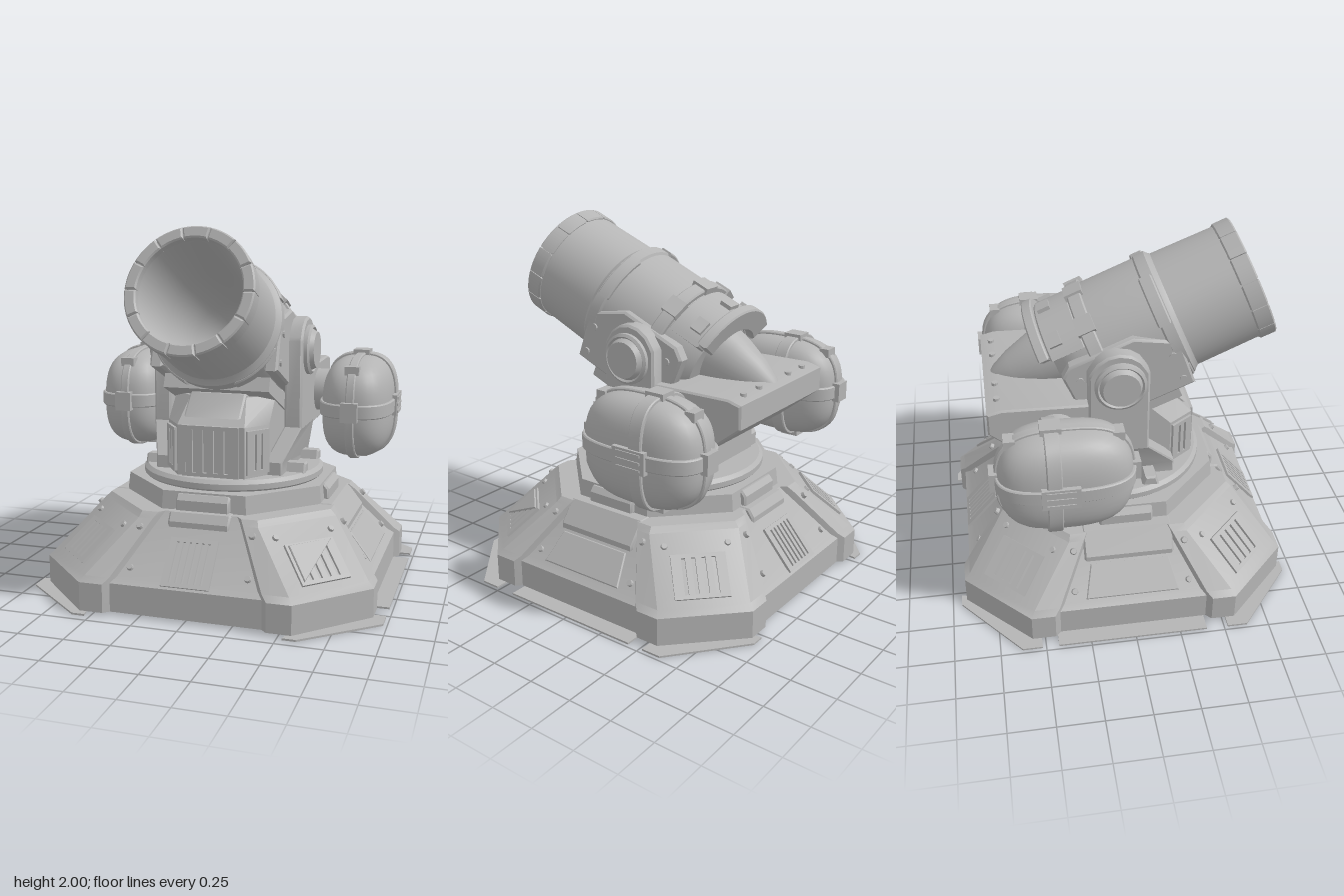
import * as THREE from 'three';
import { toCreasedNormals } from 'three/addons/utils/BufferGeometryUtils.js';

const steel = new THREE.MeshStandardMaterial({ color: 0xb4b4b4, side: THREE.DoubleSide });
steel.name = 'plain steel';

function add(parent, name, geo, x = 0, y = 0, z = 0) {
  const m = new THREE.Mesh(toCreasedNormals(geo, 0.55), steel);
  m.name = name;
  m.position.set(x, y, z);
  parent.add(m);
  return m;
}
function group(parent, name, x = 0, y = 0, z = 0) {
  const g = new THREE.Group();
  g.name = name;
  g.position.set(x, y, z);
  parent.add(g);
  return g;
}
const box = (w, h, d) => new THREE.BoxGeometry(w, h, d);
const shape = pts => new THREE.Shape(pts.map(p => new THREE.Vector2(p[0], p[1])));
const lathe = (pts, n) => new THREE.LatheGeometry(pts.map(p => new THREE.Vector2(p[0], p[1])), n);
// Extrude with a small bevel that stays inside the given depth
function extrude(s, depth, b = 0.01) {
  return new THREE.ExtrudeGeometry(s, { depth: depth - 2 * b, bevelEnabled: b > 0, bevelSize: b, bevelOffset: -b,
    bevelThickness: b, bevelSegments: 1, curveSegments: 12 }).translate(0, 0, b);
}
// (z, y) outline extruded from x0 to x1
const sideways = (pts, x0, x1, b) => extrude(shape(pts), x1 - x0, b).rotateY(-Math.PI / 2).translate(x1, 0, 0);
// Arc of a ring around the y axis, angle measured from +x towards -z
function arcRing(rIn, rOut, a0, a1, y0, y1, b = 0.008) {
  const s = new THREE.Shape();
  s.absarc(0, 0, rOut, a0, a1, false);
  s.absarc(0, 0, rIn, a1, a0, true);
  return extrude(s, y1 - y0, b).rotateX(-Math.PI / 2).translate(0, y0, 0);
}
// Skin closed rings of points
function loft(rings) {
  const v = [];
  for (let k = 0; k + 1 < rings.length; k++) {
    const lo = rings[k], up = rings[k + 1], n = lo.length;
    for (let i = 0; i < n; i++) {
      const j = (i + 1) % n;
      v.push(...lo[i], ...lo[j], ...up[j], ...lo[i], ...up[j], ...up[i]);
    }
  }
  const g = new THREE.BufferGeometry();
  g.setAttribute('position', new THREE.Float32BufferAttribute(v, 3));
  return g;
}
const sp = (v, n) => Math.sign(v) * Math.abs(v) ** (2 / n);
function superEllipse(a, b, n) {
  return shape(Array.from({ length: 48 }, (_, i) => {
    const t = i / 48 * Math.PI * 2;
    return [a * sp(Math.cos(t), n), b * sp(Math.sin(t), n)];
  }));
}
const rivet = (parent, x, y, z) => add(parent, 'rivet', new THREE.CylinderGeometry(0.015, 0.02, 0.02, 10).rotateX(Math.PI / 2), x, y, z);

// Framed vent facing local +z
function grille(parent, w, h, bars, y = 0) {
  const g = group(parent, 'grille', 0, y, 0);
  for (const s of [-1, 1]) {
    add(g, 'grilleFrameSide', box(0.022, h, 0.03), s * w / 2, 0, 0);
    add(g, 'grilleFrameEnd', box(w + 0.022, 0.022, 0.03), 0, s * h / 2, 0);
  }
  for (let i = 0; i < bars; i++)
    add(g, 'grilleBar', box(w / bars * 0.6, h * 0.94, 0.03), w * ((i + 0.5) / bars - 0.5), 0, 0);
  return g;
}

function buildBase(root) {
  const base = group(root, 'base');
  // Eight-sided skirt with recessed middles between four corner feet
  const ring = (y, d, g, c, rec) => {
    const q = [[c, d - rec], [c + 0.03, d], [g, d], [d, g], [d, c + 0.03], [d - rec, c]], out = [];
    for (let k = 0; k < 4; k++)
      q.forEach(([x, z]) => {
        for (let r = 0; r < k; r++) [x, z] = [z, -x];
        out.push([x, y, z]);
      });
    return out;
  };
  add(base, 'skirt', loft([ring(0.015, 0.92, 0.57, 0.41, 0.03), ring(0.17, 0.92, 0.57, 0.41, 0.03),
    ring(0.2, 0.89, 0.55, 0.38, 0.035), ring(0.47, 0.67, 0.33, 0.22, 0.045), ring(0.5, 0.64, 0.32, 0.2, 0.035),
    ring(0.5, 0.2, 0.08, 0.03, 0)]));
  // Ground plates
  add(base, 'floorPlate', box(1.96, 0.01, 0.83), 0, 0.005, -0.015);
  const foot = [[0.53, 0.95], [0.6, 0.95], [0.98, 0.63], [0.98, 0.52], [0.88, 0.52], [0.55, 0.85]];
  for (const sx of [-1, 1]) for (const sz of [-1, 1])
    add(base, 'cornerPlate', extrude(shape(foot.map(([x, z]) => [x * sx, -z * sz])), 0.01, 0).rotateX(-Math.PI / 2));
  for (let k = 0; k < 4; k++) {
    // Straight faces: grilles front and back, plain panels at the sides
    const a = k * Math.PI / 2, grilled = k % 2 === 0, w = grilled ? 0.17 : 0.25;
    const f = group(base, 'straightFace', Math.sin(a) * 0.787, 0.28, Math.cos(a) * 0.787);
    f.rotation.set(-0.71, a, 0, 'YXZ');
    if (grilled) grille(f, 0.24, 0.25, 7);
    else add(f, 'sidePanel', extrude(shape([[-0.26, -0.1], [0.26, -0.1], [0.22, 0.09], [-0.22, 0.09]]), 0.016, 0.006), 0, 0, -0.008);
    for (const s of [-1, 1]) {
      rivet(f, s * 0.32, -0.05, 0.006);
      rivet(f, s * 0.31, 0.17, 0.045);
    }
    const t = group(base, 'upperTab');
    t.rotation.y = a;
    const drop = grilled ? 0.43 : 0.36, reach = grilled ? 0.66 : 0.72;
    add(t, 'tabBlock', sideways([[0.5, drop], [reach, drop], [reach, drop + 0.03], [0.63, 0.505], [0.5, 0.505]], -w, w));
    add(t, 'ringTab', sideways([[0.5, 0.5], [0.595, 0.5], [0.595, 0.56], [0.57, 0.59], [0.5, 0.59]], -0.15, 0.15));
    // Diagonal faces
    const c = a + Math.PI / 4;
    const d = group(base, 'cornerFace', Math.sin(c) * 0.863, 0.335, Math.cos(c) * 0.863);
    d.rotation.set(-0.845, c, 0, 'YXZ');
    grille(d, 0.27, 0.22, 5, -0.045);
    if (k === 0) add(d, 'grilleCover', extrude(shape([[-0.13, -0.15], [0.13, 0.065], [-0.13, 0.065]]), 0.025, 0.004));
    for (const s of [-1, 1]) rivet(d, s * 0.17, 0.13, 0.002);
  }
  // Turntable
  add(base, 'turntableCollar', new THREE.CylinderGeometry(0.605, 0.617, 0.1, 8).rotateY(Math.PI / 8), 0, 0.55, 0);
  add(base, 'turntableDisc', lathe([[0, 0.59], [0.5, 0.59], [0.52, 0.61], [0.52, 0.64], [0.5, 0.66], [0, 0.66]], 48));
}

function buildMount(root) {
  const mount = group(root, 'mount');
  // Pedestal with chamfered sides
  const level = (y, w, f) => [[-w, y, f], [w, y, f], [0.29, y, f - 0.14], [0.29, y, -0.35], [-0.29, y, -0.35], [-0.29, y, f - 0.14]];
  add(mount, 'pedestal', loft([level(0.65, 0.19, 0.44), level(0.94, 0.19, 0.44), level(1.08, 0.16, 0.3), level(1.08, 0.02, 0.1)]));
  const front = group(mount, 'frontVent', 0, 0.8, 0.44);
  grille(front, 0.3, 0.26, 5);
  add(mount, 'pedestalHood', sideways([[0.2, 0.98], [0.42, 0.98], [0.31, 1.1], [0.1, 1.1]], -0.16, 0.16));
  for (const s of [-1, 1]) {
    const v = group(mount, 'sideVent', s * 0.24, 0.8, 0.37);
    v.rotation.y = s * 0.95;
    grille(v, 0.13, 0.22, 3);
  }
  // Yoke arms: round top, splayed foot bent inwards
  const top = [[0.15, 0.88], [0.15, 1.38]];
  for (let i = 1; i < 8; i++) top.push([-0.015 + 0.165 * Math.cos(i * Math.PI / 8), 1.34 + 0.165 * Math.sin(i * Math.PI / 8)]);
  top.push([-0.18, 1.38], [-0.18, 0.88]);
  const low = [[0.15, 0.9], [0.31, 0.73], [0.31, 0.65], [-0.34, 0.65], [-0.34, 0.73], [-0.18, 0.9]];
  for (const s of [-1, 1]) {
    const span = (a, b) => s > 0 ? [a, b] : [-b, -a];
    add(mount, 'yokeArm', sideways(top, ...span(0.335, 0.435), 0.012));
    const g = sideways(low, ...span(0.335, 0.435), 0.008), p = g.attributes.position;
    for (let i = 0; i < p.count; i++) p.setX(i, p.getX(i) - s * 0.07 * THREE.MathUtils.clamp((0.9 - p.getY(i)) / 0.17, 0, 1));
    add(mount, 'yokeFoot', g);
    for (const z of [-0.18, 0.16]) add(mount, 'footGusset', sideways([[z - 0.05, 0.65], [z + 0.05, 0.65], [z + 0.03, 0.71], [z - 0.03, 0.71]], ...span(0.33, 0.47)));
    // Trunnion caps
    const cap = [[0, 0.4], [0.14, 0.4], [0.14, 0.455], [0.125, 0.465], [0.115, 0.455], [0.1, 0.485], [0, 0.485]];
    add(mount, 'trunnionCap', lathe(cap, 32).rotateZ(-s * Math.PI / 2), 0, 1.32, -0.01);
    // Axle stub into the pod
    add(mount, 'podAxle', new THREE.CylinderGeometry(0.125, 0.125, 0.16, 24).rotateZ(Math.PI / 2), s * 0.46, 1.04, -0.36);
  }
  // Rear cross beam
  add(mount, 'crossBeam', sideways([[-0.72, 1.19], [-0.72, 1.06], [-0.47, 0.86], [-0.15, 0.86], [-0.15, 1.2], [-0.64, 1.21]], -0.42, 0.42));
  for (const x of [-0.3, -0.15, 0.15, 0.3]) add(mount, 'beamBolt', new THREE.CylinderGeometry(0.018, 0.018, 0.02, 10), x, 1.21, -0.66);
}

function buildPod(root, s) {
  const pod = group(root, s > 0 ? 'leftPod' : 'rightPod', s * 0.677, 0.966, -0.34);
  const n = 2.9, [a, b, c] = [0.2, 0.29, 0.355];
  const g = new THREE.SphereGeometry(1, 40, 28), p = g.attributes.position;
  for (let i = 0; i < p.count; i++) {
    const v = new THREE.Vector3().fromBufferAttribute(p, i);
    const k = (Math.abs(v.x) ** n + Math.abs(v.y) ** n + Math.abs(v.z) ** n) ** (-1 / n);
    p.setXYZ(i, v.x * k * a, v.y * k * b, v.z * k * c);
  }
  add(pod, 'podShell', g);
  // Straps in three planes
  const e = 0.014;
  add(pod, 'lengthStrap', extrude(superEllipse(c + e, b + e, n), 0.05, 0.006).translate(0, 0, -0.025).rotateY(Math.PI / 2));
  add(pod, 'waistStrap', extrude(superEllipse(a + e, c + e, n), 0.08, 0.006).translate(0, 0, -0.04).rotateX(Math.PI / 2), 0, 0.01, 0);
  add(pod, 'crossStrap', extrude(superEllipse(a + e, b + e, n), 0.08, 0.006).translate(0, 0, -0.04), 0, 0, -0.07);
  // Clasps where the straps meet
  for (const k of [-1, 1]) {
    add(pod, 'claspVertical', box(0.095, 0.05, 0.11), 0, k * (b + 0.005), -0.07);
    add(pod, 'claspEnd', box(0.095, 0.11, 0.05), 0, 0.01, k * (c + 0.015));
    add(pod, 'claspCorner', box(0.08, 0.05, 0.06), 0, 0.235, k * 0.28);
  }
  add(pod, 'claspOuter', box(0.04, 0.12, 0.2), s * (a + 0.004), 0.01, -0.04);
  for (const y of [-0.03, 0.01, 0.05]) add(pod, 'claspRib', box(0.015, 0.014, 0.15), s * (a + 0.022), y, -0.04);
}

function buildBarrel(root) {
  // Local +y runs to the muzzle, local -z is the upper side
  const barrel = group(root, 'barrel', 0, 1.352, -0.01);
  barrel.rotation.x = 1.17;
  add(barrel, 'tube', lathe([[0, -0.3], [0.24, -0.3], [0.3, -0.24], [0.335, -0.16], [0.35, -0.02], [0.35, 0.3], [0.362, 0.31],
    [0.362, 0.37], [0.345, 0.385], [0.334, 0.4], [0.326, 0.85], [0.285, 0.855], [0.275, 0.8], [0.262, 0.4], [0.235, 0.0],
    [0.18, -0.16], [0.1, -0.24], [0, -0.27]], 48));
  // Segmented muzzle ring
  const N = 14, step = Math.PI * 2 / N;
  for (let i = 0; i < N; i++) add(barrel, 'muzzleSegment', arcRing(0.278, 0.34, i * step + 0.006, (i + 1) * step - 0.006, 0.765, 0.865));
  // Bands with raised tabs
  for (let i = 0; i < 4; i++) {
    const a = Math.PI / 4 + i * Math.PI / 2;
    add(barrel, 'bandTab', arcRing(0.3, 0.372, a - 0.4, a + 0.4, 0.29, 0.365));
  }
  const up = Math.PI / 2;
  add(barrel, 'rearBand', arcRing(0.29, 0.37, up - 1.2, up + 1.2, -0.1, -0.02));
  add(barrel, 'breechShell', arcRing(0.24, 0.345, up - 1.0, up + 1.0, -0.3, -0.1));
  add(barrel, 'breechFlange', arcRing(0.25, 0.38, up - 0.95, up + 0.95, -0.36, -0.3));
  for (const t of [-0.7, 0, 0.7]) {
    const b = group(barrel, 'bandClamp');
    b.rotation.y = t;
    add(b, 'clampBlock', box(0.1, 0.1, 0.04), 0, -0.06, -0.36);
    add(b, 'breechBlock', box(0.08, 0.07, 0.05), 0, -0.24, -0.34);
  }
  // Cheek plates towards the trunnions, outline is (local z, local y)
  const cheek = [[-0.02, 0.365], [0.26, 0.35], [0.26, -0.24], [0.14, -0.28], [-0.1, -0.28], [-0.15, -0.22], [-0.15, 0.15]];
  for (const s of [-1, 1]) {
    add(barrel, 'cheekPlate', sideways(cheek, s > 0 ? 0.285 : -0.36, s > 0 ? 0.36 : -0.285, 0.012));
    for (const [y, z] of [[0.3, 0.04], [0.3, 0.2], [-0.2, -0.05]])
      add(barrel, 'cheekBolt', new THREE.CylinderGeometry(0.02, 0.02, 0.02, 10).rotateZ(up), s * 0.36, y, z);
  }
  add(barrel, 'underBlock', box(0.6, 0.5, 0.08), 0, 0.0, 0.31);
  // Tapered breech nose
  const nose = [[0, -0.715], [0.22, -0.7], [0.42, -0.65], [0.66, -0.55], [0.9, -0.4], [1, -0.3]];
  add(barrel, 'breechNose', lathe(nose, 32).scale(0.16, 1, 0.19), 0, 0, -0.06);
}

export function createModel() {
  const root = new THREE.Group();
  root.name = 'mortarTurret';
  buildBase(root);
  buildMount(root);
  for (const s of [-1, 1]) buildPod(root, s);
  buildBarrel(root);
  return root;
}
